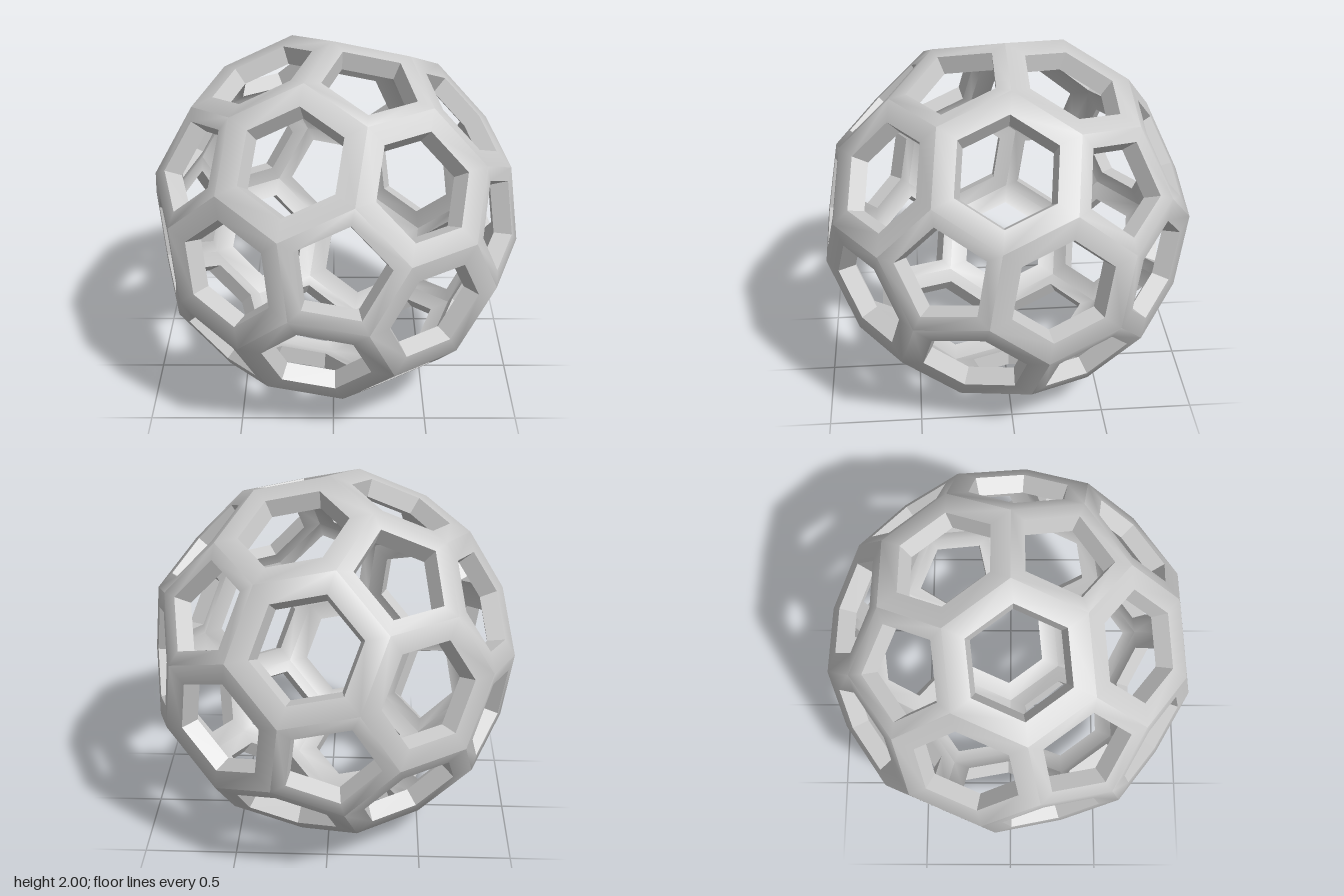
import * as THREE from 'three';
import { toCreasedNormals } from 'three/addons/utils/BufferGeometryUtils.js';

const HOLE = { 5: 0.74, 6: 0.70 }; // opening size relative to its face
const DEPTH = 0.9;                 // inner shell relative to the outer one

// Twelve corners of an icosahedron
function icosahedronCorners() {
  const p = (1 + Math.sqrt(5)) / 2, out = [];
  for (const a of [-1, 1]) for (const b of [-p, p]) {
    out.push(new THREE.Vector3(0, a, b), new THREE.Vector3(a, b, 0), new THREE.Vector3(b, 0, a));
  }
  return out;
}

// Truncated icosahedron of radius 1: 12 pentagons and 20 hexagons, counter-clockwise from outside
function buildFaces() {
  const ico = icosahedronCorners();
  const near = (a, b) => a !== b && a.distanceTo(b) < 2.1;
  const corners = [], axes = ico.map(v => v.clone().normalize());
  ico.forEach((a, i) => ico.forEach((b, j) => {
    if (!near(a, b)) return;
    corners.push(a.clone().multiplyScalar(2).add(b).normalize());
    ico.forEach((c, k) => {
      if (i < j && j < k && near(a, c) && near(b, c)) axes.push(a.clone().add(b).add(c).normalize());
    });
  }));
  return axes.map(n => {
    const top = Math.max(...corners.map(v => v.dot(n)));
    const face = corners.filter(v => v.dot(n) > top - 1e-4);
    const u = face[0].clone().addScaledVector(n, -face[0].dot(n)).normalize();
    const w = n.clone().cross(u);
    const angle = v => Math.atan2(v.dot(w), v.dot(u));
    return face.sort((a, b) => angle(a) - angle(b));
  });
}

// Stand the ball on one corner, with a pentagon edge running from the top towards +x
function orient(faces) {
  const [p0, p1] = faces[0];
  const y = p1.clone().normalize();
  const x = p0.clone().addScaledVector(y, -p0.dot(y)).normalize();
  const z = x.clone().cross(y);
  return faces.map(f => f.map(v => new THREE.Vector3(v.dot(x), v.dot(y), v.dot(z))));
}

export function createModel() {
  const group = new THREE.Group();
  group.name = 'openBall';
  const material = new THREE.MeshStandardMaterial({ color: 0xcccccc });
  const outer = [], inner = [], walls = [];
  const quad = (list, a, b, c, d) => {
    for (const v of [a, b, c, a, c, d]) list.push(v.x, v.y, v.z);
  };
  const sink = v => v.clone().multiplyScalar(DEPTH);

  // Each face is a flat ring outside, the same ring inside, and walls around the opening
  for (const face of orient(buildFaces())) {
    const n = face.length;
    const centre = face.reduce((s, v) => s.add(v), new THREE.Vector3()).divideScalar(n);
    const hole = face.map(v => centre.clone().lerp(v, HOLE[n]));
    for (let i = 0; i < n; i++) {
      const j = (i + 1) % n;
      quad(outer, face[i], face[j], hole[j], hole[i]);
      quad(inner, sink(face[j]), sink(face[i]), sink(hole[i]), sink(hole[j]));
      quad(walls, hole[i], hole[j], sink(hole[j]), sink(hole[i]));
    }
  }

  // Pentagon edges shade softly, edges between two hexagons stay sharp
  for (const [name, list] of [['outerStruts', outer], ['innerStruts', inner], ['openingWalls', walls]]) {
    const g = new THREE.BufferGeometry();
    g.setAttribute('position', new THREE.Float32BufferAttribute(list, 3));
    const mesh = new THREE.Mesh(toCreasedNormals(g, THREE.MathUtils.degToRad(40)), material);
    mesh.name = name;
    mesh.position.y = 1;
    group.add(mesh);
  }
  return group;
}
